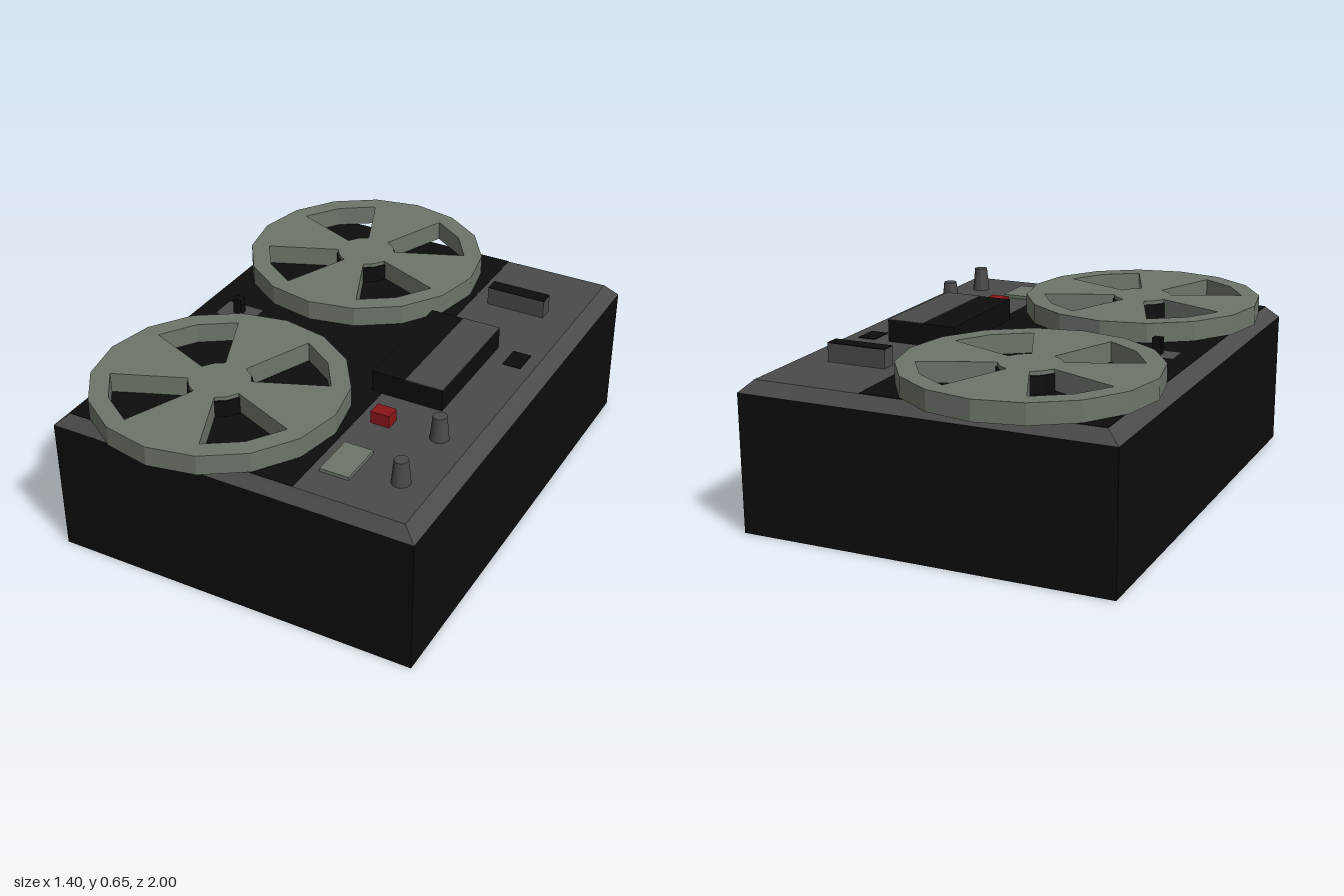
import * as THREE from 'three';

const mat = (color) => new THREE.MeshStandardMaterial({ color, flatShading: true });
const BLACK = mat(0x0d0d0d), GREY = mat(0x4a4a4a), GREEN = mat(0x6d766a), RED = mat(0x8a1418);

// Box given by its extents along each axis
function block(name, material, [x0, x1], [y0, y1], [z0, z1]) {
  const mesh = new THREE.Mesh(new THREE.BoxGeometry(x1 - x0, y1 - y0, z1 - z0), material);
  mesh.position.set((x0 + x1) / 2, (y0 + y1) / 2, (z0 + z1) / 2);
  mesh.name = name;
  return mesh;
}

// Points on a circle in steps of a sixteenth turn
function arc(radius, from, to) {
  const points = [];
  const step = Math.sign(to - from);
  for (let i = from; i !== to + step; i += step) {
    const a = (i * Math.PI) / 8;
    points.push(new THREE.Vector2(radius * Math.cos(a), radius * Math.sin(a)));
  }
  return points;
}

// Sixteen-sided reel with four sector windows and a dark core
function reel(name, z) {
  const group = new THREE.Group();
  group.name = name;
  const shape = new THREE.Shape(arc(0.46, 0, 15));
  for (let q = 0; q < 4; q++) {
    const s = q * 4 + 1;
    shape.holes.push(new THREE.Path([...arc(0.39, s, s + 2), ...arc(0.112, s + 2, s)]));
  }
  const geometry = new THREE.ExtrudeGeometry(shape, { depth: 0.075, bevelEnabled: false });
  geometry.rotateX(-Math.PI / 2);
  const disc = new THREE.Mesh(geometry, GREEN);
  disc.name = 'reelDisc';
  disc.position.y = 0.565;
  const core = new THREE.Mesh(new THREE.CylinderGeometry(0.118, 0.118, 0.065, 16), BLACK);
  core.name = 'reelCore';
  core.position.y = 0.593;
  group.add(disc, core);
  group.position.set(-0.24, 0, z);
  return group;
}

export function createModel() {
  const model = new THREE.Group();
  model.name = 'tapeRecorder';

  // Case and chamfered deck
  model.add(block('case', BLACK, [-0.7, 0.7], [0, 0.515], [-0.9, 0.9]));
  const deck = block('deck', GREY, [-0.7, 0.7], [0.515, 0.56], [-0.9, 0.9]);
  const p = deck.geometry.attributes.position;
  for (let i = 0; i < p.count; i++) {
    if (p.getY(i) > 0) p.setXYZ(i, Math.sign(p.getX(i)) * 0.65, p.getY(i), Math.sign(p.getZ(i)) * 0.865);
  }
  deck.geometry.computeVertexNormals();
  model.add(deck);
  model.add(block('reelPanel', BLACK, [-0.65, 0.24], [0.558, 0.562], [-0.865, 0.865]));

  // Reels
  model.add(reel('rearReel', -0.54), reel('frontReel', 0.54));

  // Head cover with grey top
  model.add(block('headCover', BLACK, [0.2, 0.475], [0.56, 0.643], [-0.24, 0.24]));
  model.add(block('headCoverTop', GREY, [0.33, 0.475], [0.642, 0.645], [-0.24, 0.24]));

  // Tape guide post on its plate
  model.add(block('guidePlate', GREY, [-0.575, -0.425], [0.56, 0.564], [-0.05, 0.05]));
  model.add(block('guidePost', BLACK, [-0.517, -0.483], [0.56, 0.625], [-0.015, 0.015]));

  // Counter housing and its window
  model.add(block('counter', GREY, [0.305, 0.535], [0.56, 0.629], [-0.572, -0.515]));
  model.add(block('counterWindow', BLACK, [0.305, 0.535], [0.628, 0.632], [-0.572, -0.515]));

  // Controls
  model.add(block('switchInlay', BLACK, [0.535, 0.605], [0.558, 0.563], [-0.24, -0.14]));
  model.add(block('recordButton', RED, [0.29, 0.362], [0.56, 0.607], [0.365, 0.42]));
  model.add(block('levelMeter', GREEN, [0.276, 0.385], [0.56, 0.573], [0.577, 0.75]));
  for (const z of [0.39, 0.675]) {
    const knob = new THREE.Mesh(new THREE.CylinderGeometry(0.025, 0.034, 0.09, 16), GREY);
    knob.name = 'knob';
    knob.position.set(0.538, 0.605, z);
    model.add(knob);
  }
  return model;
}
